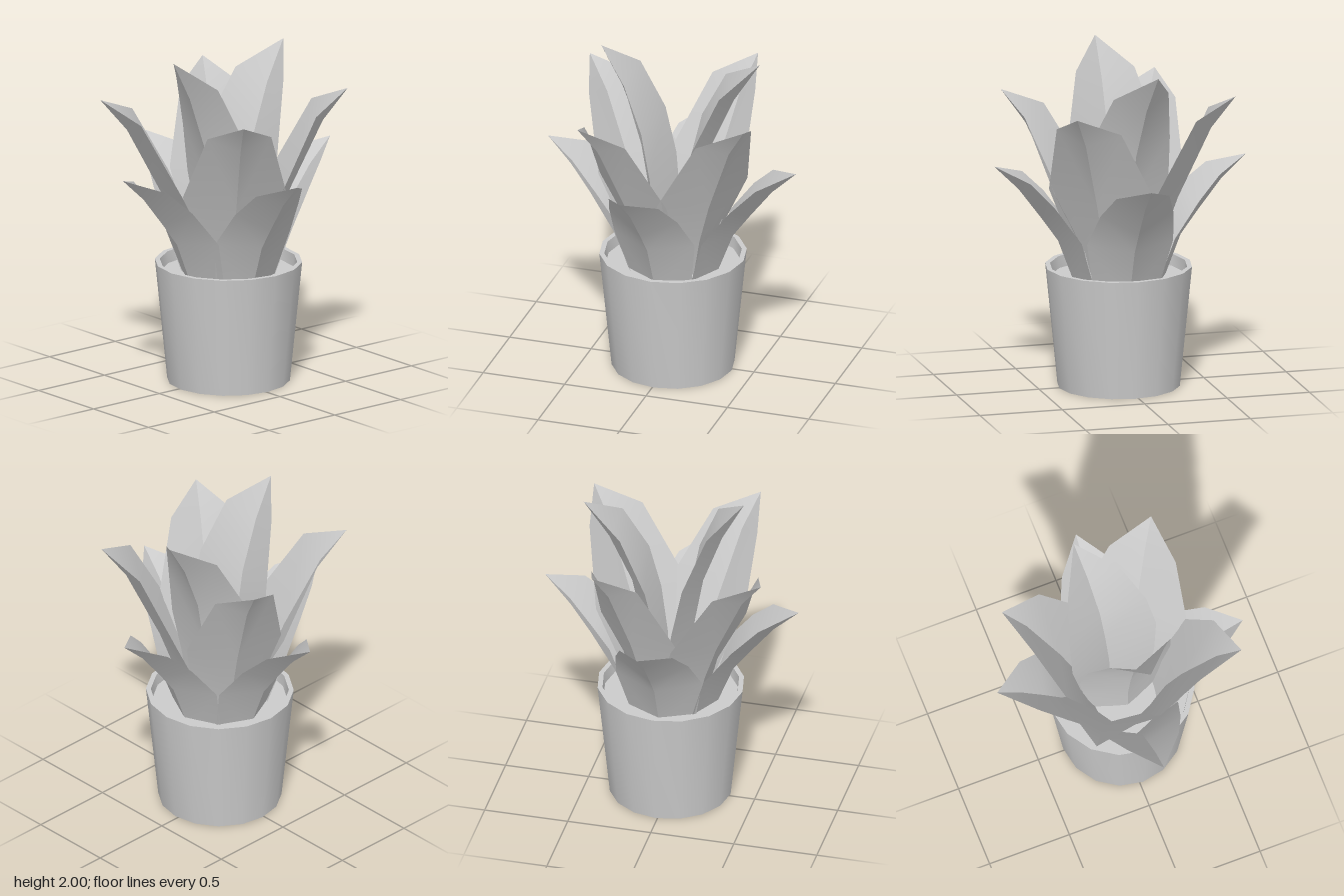
import * as THREE from 'three';
import { toCreasedNormals } from 'three/addons/utils/BufferGeometryUtils.js';

const BASE_Y = 0.56;
const CENTER = [0.02, -0.01];

// Cross-sections from base to tip: [edge radius, edge y, half width, rib radius, rib y]
const LEAF_TYPES = {
  outerLeaf: [
    [0.16, 0.56, 0.185, 0.25, 0.56],
    [0.27, 0.92, 0.26, 0.375, 0.88],
    [0.43, 1.13, 0.22, 0.475, 1.015],
    [0.57, 1.265, 0.16, 0.62, 1.2],
    [0.77, 1.34, 0, 0.77, 1.34],
  ],
  middleLeaf: [
    [0.1, 0.56, 0.14, 0.19, 0.56],
    [0.17, 0.92, 0.245, 0.27, 0.88],
    [0.3, 1.21, 0.305, 0.365, 1.13],
    [0.515, 1.625, 0.188, 0.57, 1.55],
    [0.72, 1.74, 0, 0.72, 1.74],
  ],
  innerLeaf: [
    [0.025, 0.56, 0.19, 0.1, 0.56],
    [0.025, 0.92, 0.25, 0.108, 0.88],
    [0.06, 1.22, 0.29, 0.145, 1.17],
    [0.12, 1.52, 0.265, 0.195, 1.45],
    [0.25, 1.84, 0.18, 0.31, 1.76],
    [0.44, 2.0, 0, 0.44, 2.0],
  ],
};

// Tip position and width factor of every leaf: [x, z, y, width]
const TIPS = {
  outerLeaf: [[-0.01, 0.768, 1.34, 1], [0.75, 0.08, 1.34, 1], [0.035, -0.77, 1.34, 1], [-0.75, -0.02, 1.34, 1]],
  middleLeaf: [[0.625, 0.38, 1.725, 1], [0.43, -0.575, 1.755, 1.07], [-0.6, -0.33, 1.77, 0.94], [-0.38, 0.632, 1.725, 1]],
  innerLeaf: [[0.04, 0.425, 2.0, 1], [-0.08, -0.51, 1.955, 1]],
};

// Half a leaf: a strip between the rib and one edge, facing +z
function halfLeaf(sections, side, rScale, yScale, width) {
  const positions = [];
  const index = [];
  const fitY = (y) => BASE_Y + (y - BASE_Y) * yScale;
  sections.forEach(([edgeR, edgeY, halfWidth, ribR, ribY], i) => {
    positions.push(0, fitY(ribY), ribR * rScale);
    positions.push(side * halfWidth * width, fitY(edgeY), edgeR * rScale);
    if (i === 0) return;
    const a = 2 * (i - 1);
    const quad = [a, a + 1, a + 3, a, a + 3, a + 2];
    index.push(...(side > 0 ? quad : quad.reverse()));
  });
  const geometry = new THREE.BufferGeometry();
  geometry.setAttribute('position', new THREE.Float32BufferAttribute(positions, 3));
  geometry.setIndex(index);
  geometry.computeVertexNormals();
  return geometry;
}

export function createModel() {
  const model = new THREE.Group();
  model.name = 'pottedPlant';
  const material = new THREE.MeshStandardMaterial({ color: 0xcccccc });
  const leafMaterial = new THREE.MeshStandardMaterial({ color: 0xcccccc, side: THREE.DoubleSide });

  const plant = new THREE.Group();
  plant.position.set(CENTER[0], 0, CENTER[1]);
  model.add(plant);
  plant.name = 'plant';

  // Tapered pot with a thin rim and an inner wall
  const profile = [[0, 0], [0.36, 0], [0.432, 0.72], [0.403, 0.72], [0.393, 0.62]];
  const potGeometry = new THREE.LatheGeometry(profile.map(([r, y]) => new THREE.Vector2(r, y)), 16);
  const pot = new THREE.Mesh(toCreasedNormals(potGeometry, Math.PI / 5), material);
  pot.name = 'pot';
  plant.add(pot);

  // Soil disc just below the rim
  const soil = new THREE.Mesh(new THREE.CircleGeometry(0.396, 16).rotateX(-Math.PI / 2), material);
  soil.name = 'soil';
  soil.position.y = 0.65;
  plant.add(soil);

  // Three rings of folded leaves, each fitted to its tip
  for (const [name, tips] of Object.entries(TIPS)) {
    const sections = LEAF_TYPES[name];
    const [refR, refY] = sections[sections.length - 1];
    tips.forEach(([x, z, y, width]) => {
      const dx = x - CENTER[0];
      const dz = z - CENTER[1];
      const rScale = Math.hypot(dx, dz) / refR;
      const yScale = (y - BASE_Y) / (refY - BASE_Y);
      const leaf = new THREE.Group();
      leaf.name = name;
      leaf.rotation.y = Math.atan2(dx, dz);
      for (const side of [1, -1]) {
        const half = new THREE.Mesh(halfLeaf(sections, side, rScale, yScale, width), leafMaterial);
        half.name = side > 0 ? 'leftBlade' : 'rightBlade';
        leaf.add(half);
      }
      plant.add(leaf);
    });
  }
  return model;
}
